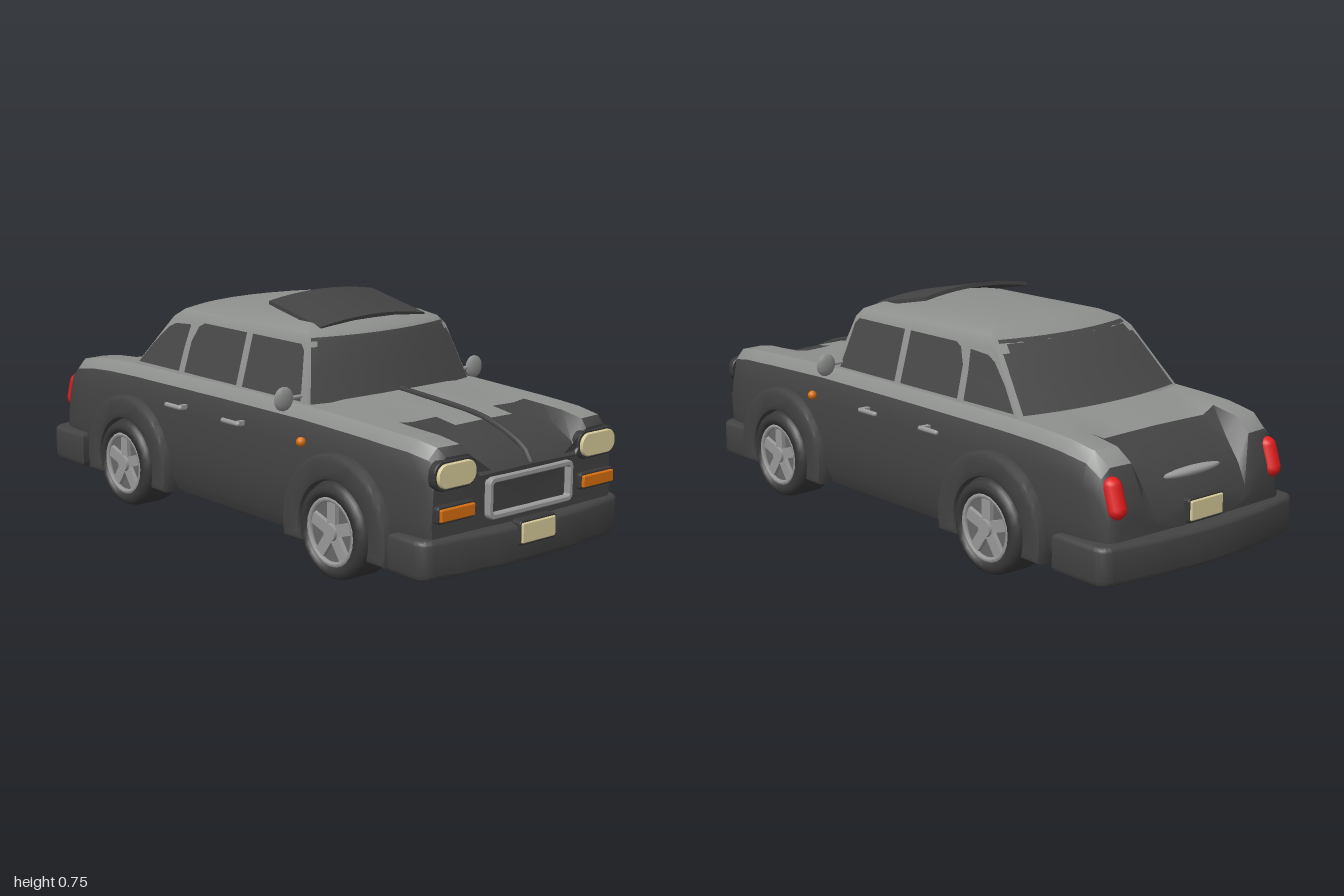
import * as THREE from 'three';
import { toCreasedNormals } from 'three/addons/utils/BufferGeometryUtils.js';

const mat = (name, color, side = THREE.FrontSide) => {
  const m = new THREE.MeshStandardMaterial({ color, side });
  m.name = name;
  return m;
};

export function createModel() {
  const car = new THREE.Group();
  car.name = 'car';
  const dark = mat('darkPaint', 0x434343), grey = mat('greyPaint', 0x8e908e);
  const glass = mat('darkGlass', 0x484848, THREE.DoubleSide), rubber = mat('tyreRubber', 0x383838);
  const chrome = mat('brightMetal', 0x999a99), steel = mat('wheelSteel', 0x686868);
  const cream = mat('creamLens', 0xd9cd9a), orange = mat('orangeLens', 0xd8700f), red = mat('redLens', 0xe01c1c);

  const add = (name, geo, material, x = 0, y = 0, z = 0, parent = car) => {
    const m = new THREE.Mesh(geo, material);
    m.name = name;
    m.position.set(x, y, z);
    parent.add(m);
    return m;
  };

  // Skin closed rings of points; paint(a, b) picks material 0 or 1 for each strip
  const loft = (rings, paint) => {
    const lists = [[], []], n = rings[0].length;
    const tri = (k, ...p) => p.forEach(v => lists[k].push(...v));
    const middle = r => [0, 1, 2].map(k => (Math.min(...r.map(p => p[k])) + Math.max(...r.map(p => p[k]))) / 2);
    rings.forEach((r, i) => {
      for (let j = 0; j < n; j++) {
        const a = r[j], b = r[(j + 1) % n];
        if (i === 0) tri(paint(i, j), middle(r), a, b);
        if (i === rings.length - 1) { tri(paint(i, j), middle(r), b, a); continue; }
        const c = rings[i + 1][j], d = rings[i + 1][(j + 1) % n];
        tri(paint(i, j), a, c, b);
        tri(paint(i, j), b, c, d);
      }
    });
    const g = new THREE.BufferGeometry();
    g.setAttribute('position', new THREE.Float32BufferAttribute([...lists[0], ...lists[1]], 3));
    g.addGroup(0, lists[0].length / 3, 0);
    g.addGroup(lists[0].length / 3, lists[1].length / 3, 1);
    return toCreasedNormals(g, 0.6);
  };

  // Lower body: z, half width, fender height, centre height
  const stations = [
    [0.955, 0.368, 0.422, 0.35], [0.93, 0.38, 0.445, 0.385], [0.85, 0.385, 0.457, 0.425],
    [0.77, 0.39, 0.461, 0.449], [0.69, 0.39, 0.465, 0.46], [0.4, 0.395, 0.475, 0.48], [0, 0.395, 0.475, 0.475],
    [-0.5, 0.392, 0.47, 0.475], [-0.65, 0.39, 0.465, 0.462], [-0.76, 0.39, 0.457, 0.435],
    [-0.86, 0.385, 0.44, 0.38], [-0.91, 0.375, 0.40, 0.32], [-0.945, 0.36, 0.30, 0.26], [-0.955, 0.34, 0.24, 0.22]];
  const floor = 0.092;
  const bodyRings = stations.map(([z, w, yf, yc]) => {
    const h = t => floor + t * (yf - floor);
    const half = [[0, floor], [0.92, floor], [0.98, h(0.13)], [1, h(0.43)], [0.985, h(0.72)], [0.95, h(0.91)],
      [0.87, h(1)], [0.66, h(1)], [0.54, yc], [0.3, yc + 0.003], [0, yc + 0.005]];
    const full = [...half, ...half.slice(1, -1).reverse().map(([x, y]) => [-x, y])];
    return full.map(([x, y]) => [x * w, y, z * (1 - 0.15 * (x * w) ** 2)]);
  });
  const bodyPaint = (i, j) => {
    const s = j < 10 ? j : 19 - j;
    const z = stations[i][0];
    if (s < 5 || i === 0 || z < -0.9) return 0;
    if (z < -0.75) return s >= 7 ? 0 : 1;
    if (s === 9) return z > 0.78 ? 0 : 1;
    if (s >= 7) return z > 0.7 ? 0 : 1;
    return 1;
  };
  add('body', loft(bodyRings, bodyPaint), [dark, grey]);
  const ridge = new THREE.CatmullRomCurve3(stations.slice(0, 6).map(s => new THREE.Vector3(0, s[3] + 0.009, s[0])));
  add('hoodRidge', new THREE.TubeGeometry(ridge, 16, 0.009, 6), dark);

  // Cabin: height, half width, front z, back z, top to bottom
  const levels = [[0.708, 0.08, 0.14, -0.2], [0.703, 0.16, 0.23, -0.27], [0.692, 0.225, 0.295, -0.335],
    [0.672, 0.268, 0.335, -0.38], [0.645, 0.285, 0.356, -0.42], [0.46, 0.337, 0.415, -0.58]];
  const bow = 0.045;
  const us = [0, 0.35, 0.7, 0.93, 1];
  const cabinRings = levels.map(([y, w, zf, zb]) => {
    const right = [...us.map(u => [u * w, y, zf - bow * u * u]),
      ...us.slice().reverse().map(u => [u * w, y, zb + bow * u * u])];
    return [...right, ...right.slice(1, -1).reverse().map(([x, , z]) => [-x, y, z])];
  });
  add('cabin', loft(cabinRings, () => 1), [dark, grey]);
  const at = y => {
    const k = Math.max(1, levels.findIndex(l => l[0] <= y)), a = levels[k], b = levels[k - 1];
    return a.map((v, i) => v + (b[i] - v) * (y - a[0]) / (b[0] - a[0]));
  };

  // Curved front and rear glass following the cabin, with a dark surround
  const screen = (name, material, sgn, y0, y1, span, lift) => {
    const g = new THREE.PlaneGeometry(2, 1, 10, 4), p = g.attributes.position;
    for (let i = 0; i < p.count; i++) {
      const u = p.getX(i) * span, y = y0 + (p.getY(i) + 0.5) * (y1 - y0), [, w, zf, zb] = at(y);
      p.setXYZ(i, u * w, y, (sgn > 0 ? zf : zb) + sgn * (lift - bow * u * u));
    }
    g.computeVertexNormals();
    add(name, g, material);
  };
  screen('windscreenSurround', glass, 1, 0.465, 0.66, 0.98, 0.004);
  screen('windscreen', glass, 1, 0.485, 0.652, 0.92, 0.008);
  screen('rearWindowSurround', glass, -1, 0.475, 0.665, 0.95, 0.004);
  screen('rearWindow', glass, -1, 0.49, 0.655, 0.88, 0.008);

  // Side windows as (z, y) outlines laid on the sloping cabin side
  const panes = {
    frontSideWindow: [[0.335, 0.48], [0.05, 0.48], [0.05, 0.642], [0.285, 0.642], [0.303, 0.625]],
    rearSideWindow: [[0.02, 0.48], [-0.255, 0.48], [-0.25, 0.58], [-0.225, 0.63], [-0.2, 0.642], [0.02, 0.642]],
    quarterWindow: [[-0.285, 0.48], [-0.51, 0.48], [-0.45, 0.55], [-0.385, 0.61], [-0.35, 0.625], [-0.27, 0.63], [-0.28, 0.56]],
  };
  for (const s of [1, -1]) for (const [name, pts] of Object.entries(panes)) {
    const g = new THREE.ShapeGeometry(new THREE.Shape(pts.map(p => new THREE.Vector2(...p)))), p = g.attributes.position;
    for (let i = 0; i < p.count; i++) p.setXYZ(i, s * (at(p.getY(i))[1] + 0.004), p.getY(i), p.getX(i));
    g.computeVertexNormals();
    add(name, g, glass);
  }

  // Tilted, bowed sunroof panel
  const sun = new THREE.BoxGeometry(0.43, 0.012, 0.255, 10, 1, 1), sp = sun.attributes.position;
  for (let i = 0; i < sp.count; i++) sp.setY(i, sp.getY(i) - 0.42 * sp.getX(i) ** 2);
  sun.computeVertexNormals();
  add('sunroof', sun, dark, 0, 0.724, 0.165).rotation.x = 0.2;

  // Wraparound bumpers
  const bumper = (name, side, corner, mid, turn) => {
    const s = new THREE.Shape();
    s.moveTo(-0.395, -side);
    s.lineTo(-0.395, -corner + 0.03);
    s.quadraticCurveTo(-0.395, -corner, -0.36, -corner - 0.004);
    s.quadraticCurveTo(0, -2 * mid + corner, 0.36, -corner - 0.004);
    s.quadraticCurveTo(0.395, -corner, 0.395, -corner + 0.03);
    s.lineTo(0.395, -side);
    const g = new THREE.ExtrudeGeometry(s, { depth: 0.085, bevelSize: 0.015, bevelThickness: 0.015, bevelSegments: 3, curveSegments: 10 });
    g.rotateX(-Math.PI / 2);
    add(name, toCreasedNormals(g, 0.7), dark, 0, 0.095, 0).rotation.y = turn;
  };
  bumper('frontBumper', 0.82, 0.935, 0.97, 0);
  bumper('rearBumper', 0.77, 0.945, 0.985, Math.PI);

  // Rounded plates for lamps, grille and number plates
  const rounded = (w, h, r, Type = THREE.Shape) => {
    const s = new Type(), x = w / 2 - r, y = h / 2 - r;
    s.absarc(x, y, r, 0, Math.PI / 2);
    s.absarc(-x, y, r, Math.PI / 2, Math.PI);
    s.absarc(-x, -y, r, Math.PI, Math.PI * 1.5);
    s.absarc(x, -y, r, Math.PI * 1.5, Math.PI * 2);
    return s;
  };
  const plate = (name, m, shape, x, y, z, depth) => add(name, new THREE.ExtrudeGeometry(shape,
    { depth, bevelSize: 0.003, bevelOffset: -0.003, bevelThickness: 0.003, bevelSegments: 1, curveSegments: 6 }), m, x, y, z);
  const frame = rounded(0.346, 0.122, 0.02);
  frame.holes.push(rounded(0.314, 0.09, 0.008, THREE.Path));
  plate('grilleFrame', chrome, frame, 0, 0.281, 0.945, 0.018);
  plate('frontPlateHolder', rubber, rounded(0.152, 0.074, 0.012), 0, 0.17, 0.96, 0.028);
  plate('frontPlate', cream, rounded(0.138, 0.06, 0.005), 0, 0.17, 0.97, 0.024);
  plate('rearPlateHolder', rubber, rounded(0.15, 0.074, 0.012), 0, 0.238, -0.935, 0.025).rotation.y = Math.PI;
  plate('rearPlate', cream, rounded(0.135, 0.06, 0.005), 0, 0.238, -0.94, 0.026).rotation.y = Math.PI;
  add('trunkHandle', new THREE.SphereGeometry(1, 16, 8), chrome, 0, 0.335, -0.905).scale.set(0.12, 0.014, 0.02);

  for (const s of [1, -1]) {
    plate('headlightBezel', rubber, rounded(0.166, 0.086, 0.036), s * 0.29, 0.372, 0.925, 0.02);
    plate('headlight', cream, rounded(0.147, 0.07, 0.033), s * 0.29, 0.372, 0.93, 0.024);
    plate('indicatorBezel', rubber, rounded(0.146, 0.05, 0.01), s * 0.29, 0.264, 0.93, 0.02);
    plate('indicator', orange, rounded(0.132, 0.036, 0.004), s * 0.29, 0.264, 0.935, 0.024);
    add('tailLight', new THREE.CapsuleGeometry(0.029, 0.065, 4, 10), red, s * 0.328, 0.318, -0.917).rotation.x = 0.32;
    add('sideMarker', new THREE.SphereGeometry(0.015, 10, 8), orange, s * 0.396, 0.38, 0.41);
    // Door mirrors and handles
    add('mirrorStalk', new THREE.CylinderGeometry(0.006, 0.006, 0.1, 6), chrome, s * 0.36, 0.495, 0.33).rotation.z = Math.PI / 2;
    add('mirror', new THREE.SphereGeometry(0.037, 10, 8), grey, s * 0.396, 0.495, 0.33).scale.z = 0.35;
    for (const z of [0.09, -0.21]) {
      add('doorHandle', new THREE.CapsuleGeometry(0.008, 0.075, 3, 8), chrome, s * 0.412, 0.386, z).rotation.x = Math.PI / 2;
      add('handleMount', new THREE.BoxGeometry(0.03, 0.014, 0.016), chrome, s * 0.397, 0.386, z + 0.03);
    }
  }

  // Wheels with flared arches
  const tyre = new THREE.LatheGeometry([[0.095, -0.072], [0.125, -0.072], [0.14, -0.062], [0.145, -0.045], [0.145, 0.045],
    [0.14, 0.062], [0.125, 0.072], [0.105, 0.072], [0.1, 0.045]].map(p => new THREE.Vector2(...p)), 24).rotateZ(-Math.PI / 2);
  const arch = new THREE.Shape();
  arch.absarc(0, 0, 0.215, -0.2, Math.PI + 0.2);
  arch.absarc(0, 0, 0.165, Math.PI + 0.26, -0.26, true);
  const archGeo = toCreasedNormals(new THREE.ExtrudeGeometry(arch, { depth: 0.05, bevelSize: 0.014, bevelThickness: 0.014,
    bevelSegments: 2, curveSegments: 20 }).rotateY(Math.PI / 2), 0.7);
  for (const s of [1, -1]) for (const z of [0.576, -0.485]) {
    const wheel = new THREE.Group();
    wheel.name = 'wheel';
    wheel.position.set(s * 0.357, 0.147, z);
    wheel.rotation.y = s > 0 ? 0 : Math.PI;
    car.add(wheel);
    add('tyre', tyre, rubber, 0, 0, 0, wheel);
    add('rimDisc', new THREE.CylinderGeometry(0.103, 0.103, 0.1, 24).rotateZ(Math.PI / 2), steel, 0, 0, 0, wheel);
    add('rimRing', new THREE.TorusGeometry(0.097, 0.009, 6, 24).rotateY(Math.PI / 2), chrome, 0.062, 0, 0, wheel);
    add('hub', new THREE.CylinderGeometry(0.026, 0.03, 0.03, 12).rotateZ(-Math.PI / 2), chrome, 0.058, 0, 0, wheel);
    for (let k = 0; k < 5; k++) {
      const spoke = new THREE.BoxGeometry(0.02, 0.09, 0.036).translate(0, 0.052, 0);
      add('spoke', spoke, chrome, 0.054, 0, 0, wheel).rotation.x = k * Math.PI * 0.4;
    }
    add('wheelArch', archGeo, dark, s * 0.357, 0.145, z).rotation.y = s > 0 ? 0 : Math.PI;
  }
  return car;
}
